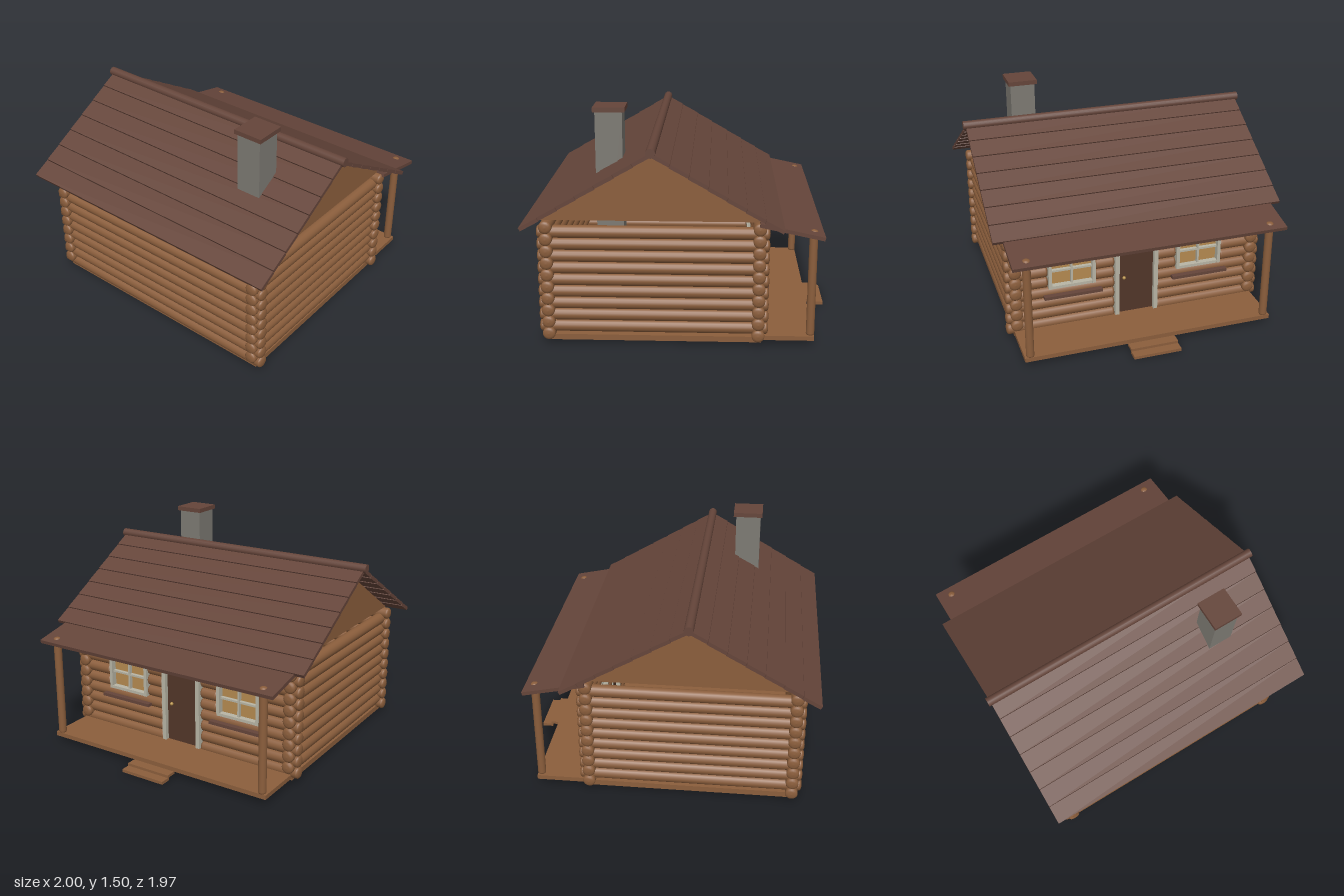
import * as THREE from 'three';

const mat = (name, color, side = THREE.FrontSide) => {
  const m = new THREE.MeshStandardMaterial({ color, side });
  m.name = name;
  return m;
};

export function createModel() {
  const cabin = new THREE.Group();
  cabin.name = 'logCabin';
  const wood = mat('log wood', 0x8b5e3c);
  const roofing = mat('roof brown', 0x65453a);
  const stone = mat('chimney stone', 0x7d7a73);
  const doorWood = mat('door brown', 0x523629);
  const trim = mat('pale trim', 0xb8b5a5);
  const glass = mat('amber glass', 0xb58a50);
  const brass = mat('brass', 0xb8924a);

  const group = (name) => {
    const g = new THREE.Group();
    g.name = name;
    cabin.add(g);
    return g;
  };
  const add = (parent, name, geo, material, x, y, z) => {
    const m = new THREE.Mesh(geo, material);
    m.name = name;
    m.position.set(x, y, z);
    parent.add(m);
    return m;
  };
  // box given by its limits on each axis
  const box = (parent, name, material, x0, x1, y0, y1, z0, z1) =>
    add(parent, name, new THREE.BoxGeometry(x1 - x0, y1 - y0, z1 - z0), material,
      (x0 + x1) / 2, (y0 + y1) / 2, (z0 + z1) / 2);
  // round log with softly domed ends, standing along y
  const logGeo = (len, r) => {
    const h = len / 2;
    const half = [[0, h], [r * 0.5, h - 0.002], [r * 0.82, h - 0.006], [r, h - 0.014], [r, h - 0.02]];
    const up = half.map(([x, y]) => new THREE.Vector2(x, y));
    const down = half.map(([x, y]) => new THREE.Vector2(x, -y));
    return new THREE.LatheGeometry([...down, ...up.reverse()], 16);
  };

  const R = 0.041, STEP = 0.079, WX = 0.835, ZF = 0.836, ZB = -0.5, MID = 0.167;

  // Log walls: lengthwise rows alternate with crosswise rows
  const walls = group('logWalls');
  const logX = (x0, x1, y, z) =>
    add(walls, 'longLog', logGeo(x1 - x0, R), wood, (x0 + x1) / 2, y, z).rotation.z = Math.PI / 2;
  for (let i = 0; i < 10; i++) {
    const y = STEP * (i + 1);
    logX(-0.905, 0.905, y, ZF);
    // porch wall is cut around the door and the windows
    let cuts = [];
    if (i < 7) cuts = i < 4 ? [-0.15, 0.15] : [-0.61, -0.29, -0.15, 0.15, 0.29, 0.61];
    const ends = [-0.905, ...cuts, 0.905];
    for (let k = 0; k < ends.length; k += 2) logX(ends[k], ends[k + 1], y, ZB);
  }
  for (const x of [-WX, WX]) {
    for (let i = 0; i < 9; i++) {
      add(walls, 'sideLog', logGeo(1.467, R), wood, x, STEP * (i + 1.5), MID).rotation.x = Math.PI / 2;
    }
  }

  // Gables
  const tri = new THREE.Shape();
  tri.moveTo(-0.698, 0.83);
  tri.lineTo(0.698, 0.83);
  tri.lineTo(0, 1.257);
  const gableGeo = new THREE.ExtrudeGeometry(tri, { depth: 0.04, bevelEnabled: false });
  gableGeo.translate(0, 0, -0.02);
  for (const x of [-WX, WX]) {
    add(cabin, 'gable', gableGeo, wood, x, 0, MID).rotation.y = Math.PI / 2;
  }

  // Plank roof and ridge pole
  const roof = group('plankRoof');
  const slope = Math.atan(0.59);
  for (const s of [-1, 1]) {
    for (let i = 0; i < 7; i++) {
      const d = 0.053 + 0.1165 * i;
      const plank = add(roof, 'roofPlank', new THREE.BoxGeometry(1.964, 0.024, 0.131), roofing,
        0, 1.281 - 0.59 * d, MID + s * d);
      plank.rotation.x = s * (slope - 0.03);
    }
  }
  add(roof, 'ridgePole', new THREE.CylinderGeometry(0.03, 0.03, 2, 16), roofing,
    0, 1.293, MID).rotation.z = Math.PI / 2;

  // Chimney
  const chimney = group('chimney');
  box(chimney, 'chimneyStack', stone, 0.455, 0.625, 0.05, 1.472, 0.37, 0.543);
  box(chimney, 'chimneyCap', roofing, 0.44, 0.64, 1.47, 1.5, 0.352, 0.556);

  // Base, porch floor and steps
  const base = group('base');
  box(base, 'foundation', wood, -0.855, 0.855, 0.022, 0.06, -0.522, 0.852);
  box(base, 'porchFloor', wood, -0.855, 0.855, 0.039, 0.069, -0.86, -0.5);
  box(base, 'upperStep', wood, -0.163, 0.163, 0.02, 0.038, -0.925, -0.85);
  box(base, 'lowerStep', wood, -0.163, 0.163, 0, 0.02, -0.988, -0.915);

  // Porch roof and posts
  const porch = group('porch');
  const porchRoof = add(porch, 'porchRoof', new THREE.BoxGeometry(1.83, 0.024, 0.41), roofing, 0, 0.785, -0.698);
  porchRoof.rotation.x = -Math.atan(0.21);
  for (const x of [-0.817, 0.817]) {
    add(porch, 'porchPost', logGeo(0.715, 0.027), wood, x, 0.418, -0.836);
  }

  // Door with frame and knob
  const door = group('door');
  box(door, 'doorPanel', doorWood, -0.125, 0.125, 0.06, 0.595, -0.52, -0.485);
  for (const s of [-1, 1]) {
    box(door, 'doorJamb', trim, s * 0.1375 - 0.0145, s * 0.1375 + 0.0145, 0.06, 0.595, -0.55, -0.455);
  }
  box(door, 'doorHead', trim, -0.152, 0.152, 0.592, 0.618, -0.55, -0.455);
  add(door, 'doorKnob', new THREE.SphereGeometry(0.012, 12, 8), brass, 0.085, 0.34, -0.53);

  // Windows with frame, crossbars and sill
  for (const c of [-0.45, 0.45]) {
    const win = group('window');
    box(win, 'windowGlass', glass, c - 0.15, c + 0.15, 0.355, 0.595, -0.504, -0.496);
    for (const s of [-1, 1]) {
      const x = c + s * 0.15, y = 0.475 + s * 0.115;
      box(win, 'frameSide', trim, x - 0.011, x + 0.011, 0.35, 0.6, -0.545, -0.46);
      box(win, 'frameRail', trim, c - 0.15, c + 0.15, y - 0.01, y + 0.01, -0.543, -0.462);
    }
    box(win, 'uprightBar', trim, c - 0.007, c + 0.007, 0.36, 0.59, -0.53, -0.475);
    box(win, 'crossBar', trim, c - 0.14, c + 0.14, 0.468, 0.482, -0.528, -0.477);
    box(win, 'windowSill', roofing, c - 0.2, c + 0.2, 0.292, 0.314, -0.577, -0.5);
  }

  return cabin;
}
